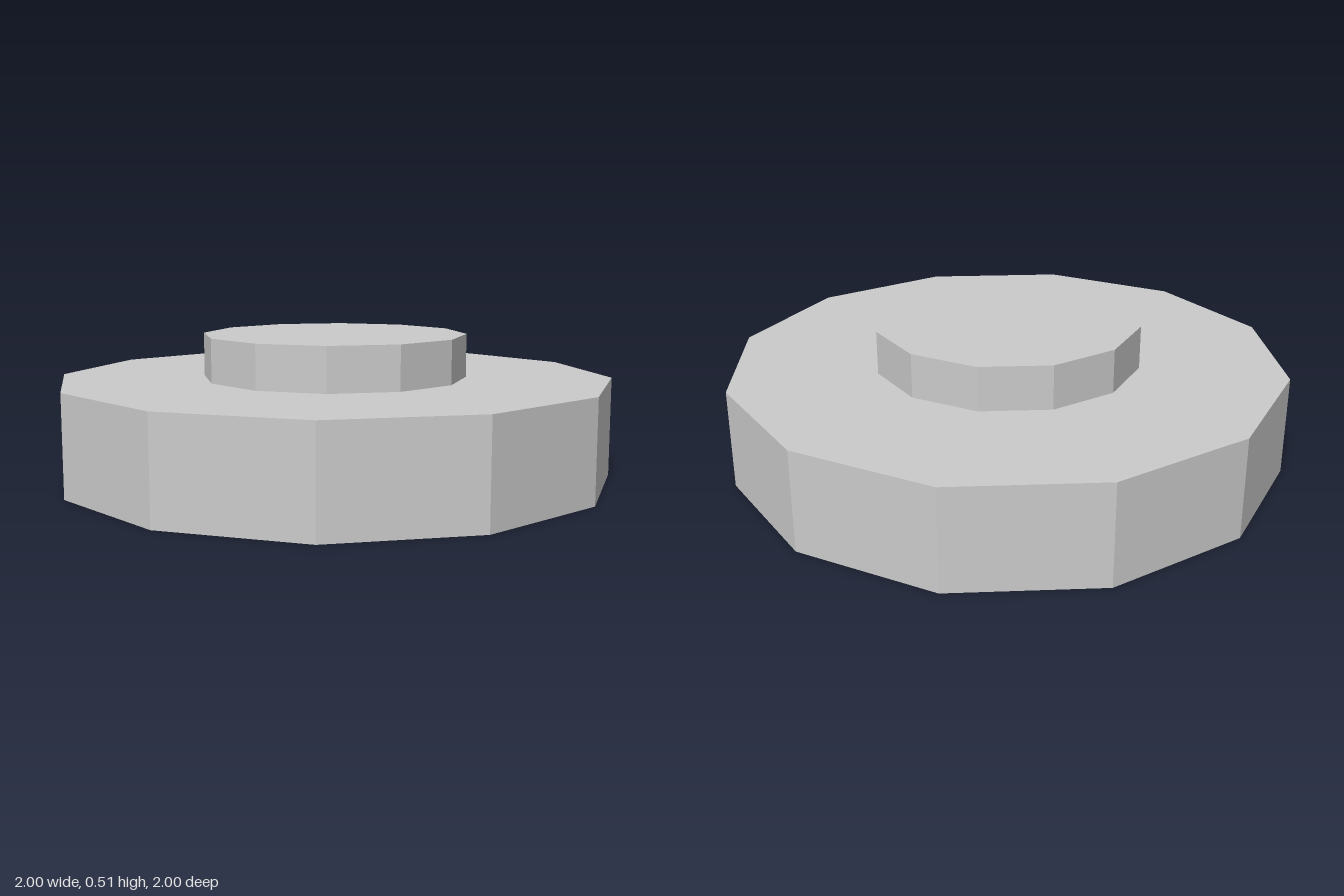
import * as THREE from 'three';

const SIDES = 12;

export function createModel() {
  const model = new THREE.Group();
  model.name = 'steppedDisc';
  const material = new THREE.MeshStandardMaterial({ color: 0xcccccc, flatShading: true });

  // Twelve-sided disc resting on the given height
  const addDisc = (name, radius, bottom, top) => {
    const height = top - bottom;
    const disc = new THREE.Mesh(new THREE.CylinderGeometry(radius, radius, height, SIDES), material);
    disc.name = name;
    disc.position.y = bottom + height / 2;
    model.add(disc);
  };

  addDisc('base', 1, 0, 0.356); // wide lower disc
  addDisc('raisedCap', 0.477, 0.356, 0.512); // small disc on top

  return model;
}
